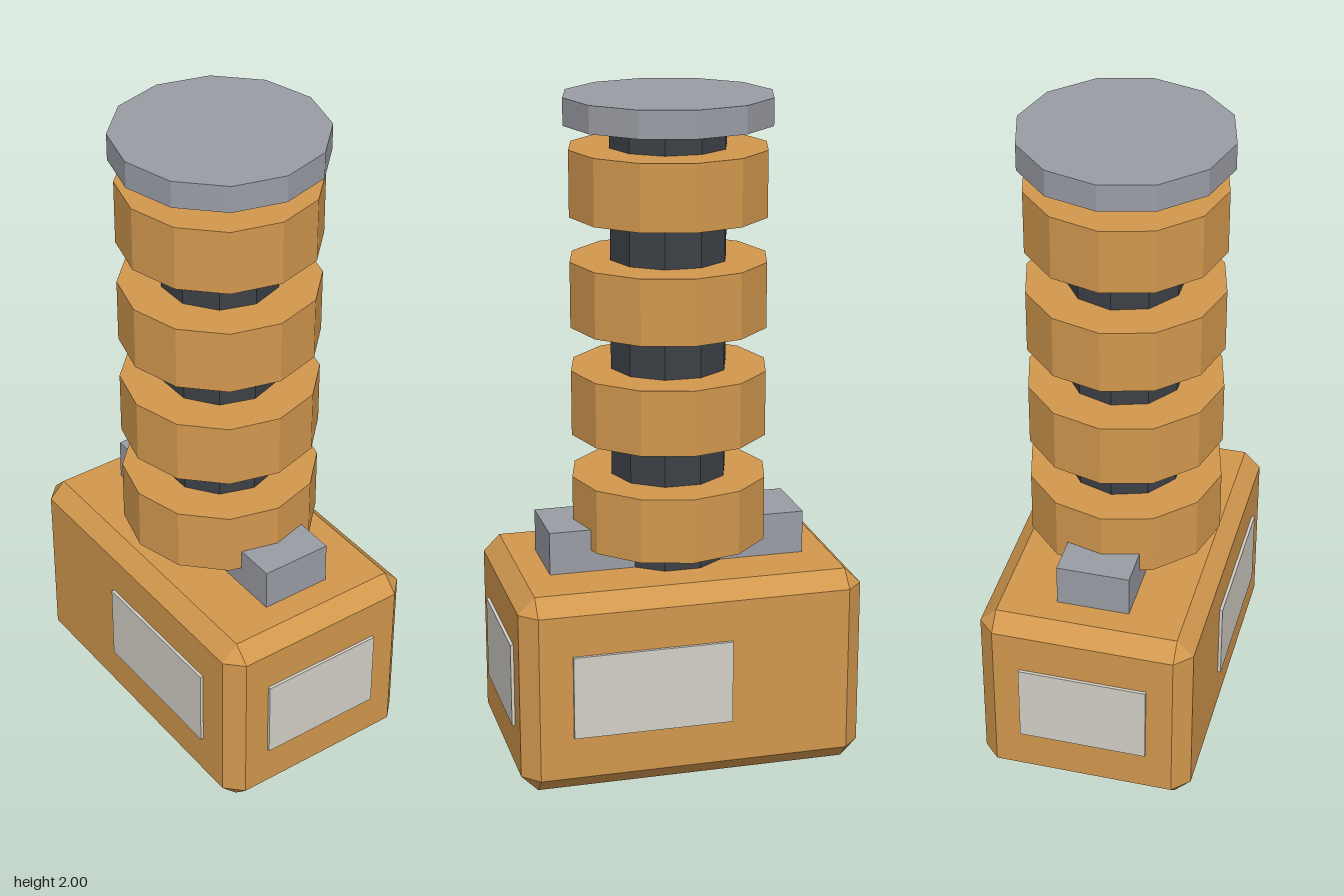
import * as THREE from 'three';
import { ConvexGeometry } from 'three/addons/geometries/ConvexGeometry.js';

function material(name, color) {
  const m = new THREE.MeshStandardMaterial({ color, flatShading: true });
  m.name = name;
  return m;
}

// Box with every edge cut by a flat chamfer c
function chamferBox(w, h, d, c) {
  const points = [];
  for (const sx of [-1, 1]) for (const sy of [-1, 1]) for (const sz of [-1, 1]) {
    const x = w / 2, y = h / 2, z = d / 2;
    points.push(
      new THREE.Vector3(sx * x, sy * (y - c), sz * (z - c)),
      new THREE.Vector3(sx * (x - c), sy * y, sz * (z - c)),
      new THREE.Vector3(sx * (x - c), sy * (y - c), sz * z)
    );
  }
  return new ConvexGeometry(points);
}

export function createModel() {
  const orange = material('orange paint', 0xd2984e);
  const steel = material('grey steel', 0x9a9da5);
  const dark = material('dark metal', 0x3c4146);
  const pale = material('pale panel', 0xd2cfc6);

  const model = new THREE.Group();
  model.name = 'ringed hammer';
  const add = (name, geometry, mat, x, y, z) => {
    const mesh = new THREE.Mesh(geometry, mat);
    mesh.name = name;
    mesh.position.set(x, y, z);
    model.add(mesh);
  };
  const drum = (r, y0, y1, sides) => new THREE.CylinderGeometry(r, r, y1 - y0, sides);

  // Chamfered head block
  add('head', chamferBox(0.65, 0.61, 1.04, 0.05), orange, 0, 0.305, 0);

  // Shaft and end cap
  add('shaft', drum(0.175, 0.6, 1.93, 10), dark, 0, 1.265, 0);
  add('endCap', drum(0.31, 1.92, 2, 12), steel, 0, 1.96, 0);

  // Grip rings
  for (let i = 0; i < 4; i++) {
    add('gripRing' + (i + 1), drum(0.295, 0, 0.195, 12), orange, 0, 0.775 + i * 0.326, 0);
  }

  // Mirrored brackets and inset panels
  for (const s of [-1, 1]) {
    const end = s > 0 ? 'front' : 'back', side = s > 0 ? 'left' : 'right';
    add(end + 'Bracket', new THREE.BoxGeometry(0.22, 0.14, 0.26), steel, 0, 0.67, s * 0.26);
    add(end + 'Panel', new THREE.BoxGeometry(0.39, 0.255, 0.0095), pale, 0, 0.307, s * 0.5245);
    add(side + 'Panel', new THREE.BoxGeometry(0.0095, 0.255, 0.48), pale, s * 0.3295, 0.307, 0.13);
  }
  return model;
}
